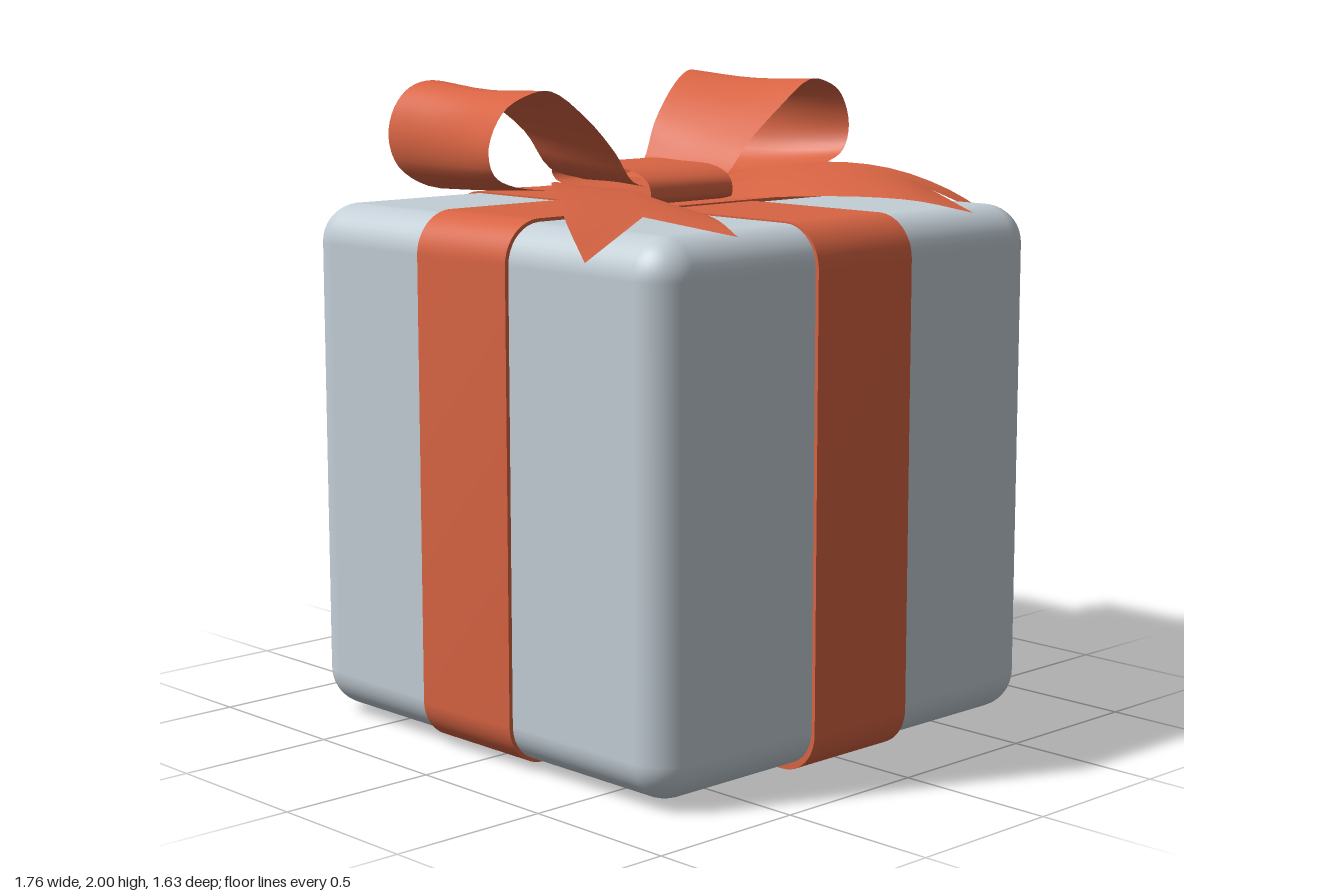
import * as THREE from 'three';
import { toCreasedNormals } from 'three/addons/utils/BufferGeometryUtils.js';
import { RoundedBoxGeometry } from 'three/addons/geometries/RoundedBoxGeometry.js';

const paper = new THREE.MeshStandardMaterial({ color: 0xc3ced6 });
paper.name = 'grey paper';
const ribbon = new THREE.MeshStandardMaterial({ color: 0xd86443, side: THREE.DoubleSide });
ribbon.name = 'red ribbon';

// Cloth surface lofted across several rails; side = -1 mirrors it in x
function cloth(name, rails, side, along, across) {
  const lines = rails.map(r => new THREE.CatmullRomCurve3(
    r.map(([x, y, z]) => new THREE.Vector3(x * side, y, z))));
  const pos = [], index = [];
  for (let i = 0; i <= along; i++) {
    const row = lines.map(l => l.getPoint(i / along));
    const curve = new THREE.CatmullRomCurve3(row);
    for (let j = 0; j <= across; j++) pos.push(...curve.getPoint(j / across).toArray());
  }
  const w = across + 1;
  for (let i = 0; i < along; i++) {
    for (let j = 0; j < across; j++) {
      const a = i * w + j, b = a + w, c = b + 1, d = a + 1;
      if (side > 0) index.push(a, b, c, a, c, d);
      else index.push(a, c, b, a, d, c);
    }
  }
  const geo = new THREE.BufferGeometry();
  geo.setAttribute('position', new THREE.Float32BufferAttribute(pos, 3));
  geo.setIndex(index);
  geo.computeVertexNormals();
  const mesh = new THREE.Mesh(geo, ribbon);
  mesh.name = name;
  return mesh;
}

// Ribbon wrapped around the box: a rounded outline extruded to the ribbon's width
function band(name, w, h, width) {
  const r = 0.13, x = w / 2, y = h / 2;
  const s = new THREE.Shape();
  s.absarc(x - r, y - r, r, 0, Math.PI / 2);
  s.absarc(-x + r, y - r, r, Math.PI / 2, Math.PI);
  s.absarc(-x + r, -y + r, r, Math.PI, Math.PI * 1.5);
  s.absarc(x - r, -y + r, r, Math.PI * 1.5, Math.PI * 2);
  s.closePath();
  const geo = new THREE.ExtrudeGeometry(s, { depth: width, bevelEnabled: false, curveSegments: 8 });
  geo.translate(0, 0, -width / 2);
  const mesh = new THREE.Mesh(toCreasedNormals(geo, 0.6), ribbon);
  mesh.name = name;
  return mesh;
}

export function createModel() {
  const group = new THREE.Group();

  // Box
  const box = new THREE.Mesh(new RoundedBoxGeometry(1.6, 1.6, 1.6, 5, 0.12), paper);
  box.name = 'box';
  box.position.y = 0.82;
  group.add(box);

  // Crossing ribbons
  const across = band('sideRibbon', 1.635, 1.62, 0.4);
  across.position.set(0.005, 0.82, -0.04);
  const around = band('frontRibbon', 1.63, 1.625, 0.4);
  around.rotation.y = Math.PI / 2;
  around.position.set(0, 0.8125, -0.003);
  group.add(across, around);

  // Knot: a flat open sleeve
  const sleeve = [[-0.14, 1.66], [0.03, 1.625], [0.085, 1.64], [0.08, 1.69], [0.02, 1.725], [-0.14, 1.735],
    [-0.31, 1.733], [-0.365, 1.71], [-0.34, 1.68], [-0.14, 1.66]];
  group.add(cloth('knot', [0.18, -0.17].map(x => sleeve.map(([z, y]) => [x, y, z])), 1, 36, 1));

  // Bow loops: front, middle and back rails
  const loop = [
    [[0.08, 1.67, 0.03], [0.2, 1.70, 0.04], [0.28, 1.79, 0.05], [0.41, 1.9, 0.065], [0.55, 1.985, 0.065],
      [0.64, 1.975, 0.06], [0.72, 1.93, 0.05], [0.767, 1.83, 0.04], [0.745, 1.75, 0.035],
      [0.66, 1.71, 0.03], [0.4, 1.685, 0.03], [0.08, 1.665, 0.03]],
    [[0.08, 1.68, -0.15], [0.2, 1.71, -0.15], [0.28, 1.81, -0.16], [0.41, 1.92, -0.18], [0.55, 1.98, -0.2],
      [0.62, 1.97, -0.21], [0.68, 1.92, -0.21], [0.71, 1.83, -0.21], [0.69, 1.74, -0.2],
      [0.61, 1.69, -0.2], [0.4, 1.675, -0.18], [0.08, 1.665, -0.15]],
    [[0.08, 1.68, -0.31], [0.2, 1.72, -0.34], [0.28, 1.84, -0.37], [0.43, 1.96, -0.43], [0.55, 2.0, -0.48],
      [0.62, 1.98, -0.505], [0.67, 1.92, -0.52], [0.69, 1.83, -0.525], [0.665, 1.74, -0.51],
      [0.59, 1.68, -0.46], [0.4, 1.665, -0.4], [0.08, 1.665, -0.31]],
  ];

  // Bow tails: inner, middle and outer rails ending in a notch
  const tail = [
    [[0.08, 1.63, -0.06], [0.18, 1.632, 0.11], [0.29, 1.645, 0.34], [0.36, 1.648, 0.49],
      [0.43, 1.64, 0.64], [0.505, 1.61, 0.79]],
    [[0.09, 1.632, -0.09], [0.25, 1.66, 0.03], [0.4, 1.7, 0.2], [0.5, 1.713, 0.33],
      [0.57, 1.695, 0.44], [0.62, 1.655, 0.53]],
    [[0.1, 1.635, -0.12], [0.37, 1.695, -0.05], [0.58, 1.723, 0.1], [0.71, 1.705, 0.27],
      [0.815, 1.64, 0.43], [0.88, 1.55, 0.575]],
  ];
  for (const side of [1, -1]) {
    const label = side > 0 ? 'left' : 'right';
    group.add(cloth(label + 'Loop', loop, side, 44, 8));
    group.add(cloth(label + 'Tail', tail, side, 15, 2));
  }
  return group;
}
